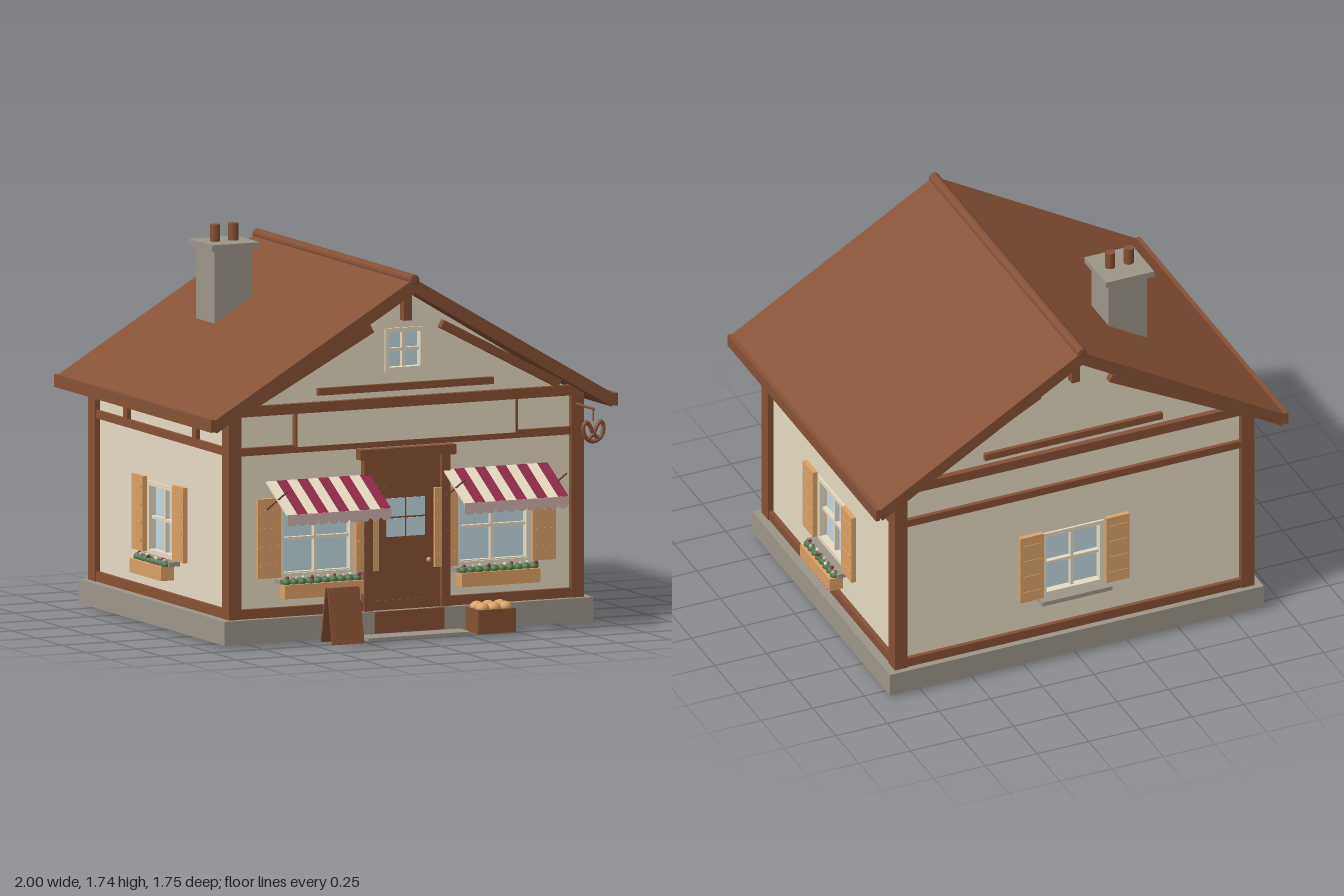
import * as THREE from 'three';

const mat = (name, color) => new THREE.MeshStandardMaterial({ name, color });

export function createModel() {
  const M = {
    timber: mat('brown timber', 0x875236),
    plaster: mat('cream plaster', 0xede2ca),
    stone: mat('grey stone', 0x9d968a),
    wood: mat('orange wood', 0xdca267),
    glass: mat('pale glass', 0xc4dae1),
    red: mat('awning red', 0x902a49),
    scallop: mat('dusty pink', 0xcdb2af),
    green: mat('leaf green', 0x507848),
  };
  const root = new THREE.Group();
  const group = (name, parent, x = 0, y = 0, z = 0, ry = 0) => {
    const g = new THREE.Group();
    g.name = name;
    g.position.set(x, y, z);
    g.rotation.y = ry;
    parent.add(g);
    return g;
  };
  const add = (parent, name, geo, m, x = 0, y = 0, z = 0) => {
    const mesh = new THREE.Mesh(geo, m);
    mesh.name = name;
    mesh.position.set(x, y, z);
    parent.add(mesh);
    return mesh;
  };
  // box given by its minimum and maximum on each axis
  const box = (parent, name, m, x0, x1, y0, y1, z0, z1) =>
    add(parent, name, new THREE.BoxGeometry(x1 - x0, y1 - y0, z1 - z0), m, (x0 + x1) / 2, (y0 + y1) / 2, (z0 + z1) / 2);
  // round bar between two points
  const bar = (parent, name, m, a, b, r) => {
    const curve = new THREE.LineCurve3(new THREE.Vector3(...a), new THREE.Vector3(...b));
    return add(parent, name, new THREE.TubeGeometry(curve, 1, r, 8), m);
  };
  const shapeOf = pts => new THREE.Shape(pts.map(p => new THREE.Vector2(...p)));
  const extrude = (shape, depth) => new THREE.ExtrudeGeometry(shape, { depth, bevelEnabled: false });

  // planter with bushes and blossoms, its back at z = 0 and its top at y = 0
  function flowerBox(parent, w) {
    box(parent, 'flowerBox', M.wood, -w / 2, w / 2, -0.062, 0, 0, 0.065);
    const n = Math.round(w / 0.04);
    for (let i = 0; i < n; i++) {
      const x = -w / 2 + (i + 0.5) * w / n;
      add(parent, 'leaves', new THREE.SphereGeometry(0.021, 8, 6), M.green, x, 0.006, 0.034);
      add(parent, 'blossom', new THREE.SphereGeometry(0.009, 6, 5), [M.red, M.scallop, M.plaster][i % 3],
        x + 0.008, 0.026, 0.03 + (i % 2) * 0.014);
    }
  }

  // window with its centre at the origin of the wall surface
  function makeWindow(parent, name, x, y, z, w, h, { shutters = false, planter = false } = {}) {
    const g = group(name, parent, x, y, z);
    const t = 0.02, a = w / 2, b = h / 2;
    box(g, 'glass', M.glass, -a, a, -b, b, -0.034, -0.026);
    for (const s of [-1, 1]) {
      add(g, 'frameSide', new THREE.BoxGeometry(t, h, 0.04), M.plaster, s * (a - t / 2), 0, -0.01);
      add(g, 'frameRail', new THREE.BoxGeometry(w, t, 0.04), M.plaster, 0, s * (b - t / 2), -0.01);
    }
    box(g, 'mullion', M.plaster, -0.007, 0.007, -b, b, -0.03, -0.005);
    box(g, 'crossbar', M.plaster, -a, a, -0.007, 0.007, -0.03, -0.005);
    if (!shutters) return g;
    box(g, 'sill', M.stone, -a - 0.02, a + 0.02, -b - 0.02, -b, -0.01, 0.055);
    for (const s of [-1, 1]) {
      const sh = group('shutter', g, s * (a + 0.058), 0.012, 0.02);
      add(sh, 'shutterPanel', new THREE.BoxGeometry(0.112, h + 0.01, 0.022), M.wood);
      for (const v of [-0.12, -0.04, 0.04, 0.12])
        add(sh, 'shutterBatten', new THREE.BoxGeometry(0.09, 0.012, 0.028), M.wood, 0, v, 0);
    }
    if (planter) flowerBox(group('planter', g, 0, -b - 0.02, 0.025), w + 0.02);
    return g;
  }

  const house = group('house', root, 0, 0, -0.07);
  const HX = 0.845, HZ = 0.695;

  // foundation and floor
  box(house, 'foundation', M.stone, -0.905, 0.905, 0.015, 0.122, -0.745, 0.745);
  box(house, 'floorBorder', M.plaster, -0.835, 0.835, 0.008, 0.016, -0.685, 0.685);
  box(house, 'floor', M.timber, -0.795, 0.795, 0, 0.014, -0.645, 0.645);

  // one wall with window openings, facing +z before turning
  function makeWall(name, ry, dist, half, gable, holes) {
    const g = group(name, house, 0, 0, 0, ry);
    const pts = [[-half, 0.12], [half, 0.12], [half, 1.03]];
    if (gable) pts.push([0, 1.54]);
    pts.push([-half, 1.03]);
    const s = shapeOf(pts);
    for (const [x, y, w, h] of holes)
      s.holes.push(new THREE.Path([[-1, -1], [-1, 1], [1, 1], [1, -1]].map(
        ([i, j]) => new THREE.Vector2(x + i * w / 2, y + j * h / 2))));
    add(g, 'plaster', extrude(s, 0.04), M.plaster, 0, 0, dist - 0.04);
    const e = half - 0.03, z0 = dist - 0.01, z1 = dist + 0.02;
    box(g, 'sillBeam', M.timber, -e, e, 0.122, 0.165, z0, z1);
    box(g, 'middleBeam', M.timber, -e, e, 0.85, 0.885, z0, z1);
    if (gable) {
      box(g, 'topPlate', M.timber, -0.85, 0.85, 1.025, 1.07, z0, z1 + 0.008);
      box(g, 'gableBeam', M.timber, -0.43, 0.43, 1.098, 1.13, z0, z1);
      box(g, 'kingPost', M.timber, -0.02, 0.02, 1.41, 1.55, z0, z1 + 0.02);
      for (const d of [-1, 1]) {
        const brace = add(g, 'brace', new THREE.BoxGeometry(0.65, 0.038, 0.045), M.timber, d * 0.46, 1.232, dist + 0.012);
        brace.rotation.z = -d * 0.484;
      }
    } else {
      box(g, 'topPlate', M.timber, -e, e, 0.98, 1.03, z0, z1);
      for (const x of [-0.352, 0.352]) box(g, 'shortPost', M.timber, x - 0.02, x + 0.02, 0.885, 0.98, z0, z1);
    }
    return g;
  }

  const sideWin = [0, 0.477, 0.3, 0.32], frontWin = [0.433, 0.477, 0.365, 0.32];
  const front = makeWall('frontWall', 0, HZ, HX, true,
    [frontWin, [-0.433, 0.477, 0.365, 0.32], [0, 1.278, 0.19, 0.19]]);
  for (const s of [-1, 1])
    makeWindow(front, 'frontWindow', s * 0.433, 0.465, HZ, 0.365, 0.345, { shutters: true, planter: true });
  makeWindow(front, 'gableWindow', 0, 1.278, HZ, 0.19, 0.195);
  const back = makeWall('backWall', Math.PI, HZ, HX, true, [sideWin]);
  makeWindow(back, 'backWindow', 0, 0.475, HZ, 0.3, 0.325, { shutters: true });
  for (const s of [-1, 1]) {
    const side = makeWall('sideWall', s * Math.PI / 2, HX, HZ, false, [sideWin]);
    makeWindow(side, 'sideWindow', 0, 0.475, HX, 0.3, 0.325, { shutters: true, planter: true });
  }

  // corner posts
  for (const x of [-1, 1]) for (const z of [-1, 1])
    add(house, 'cornerPost', new THREE.BoxGeometry(0.062, 0.91, 0.07), M.timber, x * 0.839, 0.575, z * 0.685);

  // roof, eave boards and ridge roll
  add(house, 'roof', extrude(shapeOf([[0, 1.605], [-0.997, 1.02], [-0.967, 0.975], [0, 1.54], [0.967, 0.975], [0.997, 1.02]]), 1.605),
    M.timber, 0, 0, -0.8025);
  for (const s of [-1, 1])
    add(house, 'eaveBoard', new THREE.BoxGeometry(0.02, 0.056, 1.605), M.timber, s * 0.988, 1.007, 0);
  bar(house, 'ridge', M.timber, [0, 1.6, -0.803], [0, 1.6, 0.803], 0.025);
  for (const z of [-0.803, 0.803])
    add(house, 'ridgeEnd', new THREE.SphereGeometry(0.024, 10, 6).scale(1, 1, 0.1), M.timber, 0, 1.6, z);

  // chimney
  const chimney = group('chimney', root, -0.412, 0, -0.353);
  box(chimney, 'stack', M.stone, -0.093, 0.093, 1.2, 1.64, -0.093, 0.093);
  box(chimney, 'cap', M.stone, -0.117, 0.117, 1.635, 1.662, -0.117, 0.117);
  for (const x of [-0.045, 0.045])
    add(chimney, 'chimneyPot', new THREE.CylinderGeometry(0.023, 0.023, 0.078, 12), M.timber, x, 1.699, 0);

  // door with frame, step and slab
  const door = group('door', root);
  box(door, 'doorPanel', M.timber, -0.17, 0.17, 0.12, 0.8, 0.6, 0.64);
  for (const s of [-1, 1]) {
    box(door, 'doorPost', M.timber, s * 0.19 - 0.02, s * 0.19 + 0.02, 0.12, 0.81, 0.6, 0.66);
    for (const t of [-1, 1])
      add(door, 'doorPane', new THREE.BoxGeometry(0.088, 0.082, 0.006), M.glass, s * 0.049, 0.532 + t * 0.045, 0.641);
  }
  box(door, 'lintel', M.timber, -0.235, 0.235, 0.8, 0.845, 0.6, 0.67);
  add(door, 'doorKnob', new THREE.SphereGeometry(0.011, 10, 8), M.wood, 0.11, 0.335, 0.647);
  box(door, 'step', M.timber, -0.17, 0.17, 0.025, 0.122, 0.6, 0.685);
  box(door, 'slab', M.stone, -0.25, 0.25, 0.008, 0.022, 0.6, 0.785);

  // shop sign board
  box(root, 'signBoard', M.plaster, -0.54, 0.54, 0.872, 1.025, 0.61, 0.648);
  for (const x of [-0.54, 0.54]) box(root, 'signEdge', M.timber, x - 0.006, x + 0.006, 0.872, 1.025, 0.61, 0.652);
  box(root, 'signRail', M.timber, -0.54, 0.54, 0.866, 0.876, 0.61, 0.652);

  // striped awnings with scalloped valance and crossing arms
  for (const c of [-0.435, 0.435]) {
    const a = group('awning', root, c, 0, 0);
    const n = 10, w = 0.051, left = -n * w / 2;
    const valance = new THREE.Shape();
    valance.moveTo(left, 0.61);
    valance.lineTo(left, 0.583);
    for (let i = 0; i < n; i++) {
      const x = left + (i + 0.5) * w;
      const stripe = add(a, 'stripe', new THREE.BoxGeometry(w, 0.008, 0.253), i % 2 ? M.red : M.plaster, x, 0.667, 0.76);
      stripe.rotation.x = 0.517;
      valance.absarc(x, 0.583, w / 2, Math.PI, Math.PI * 2, false);
    }
    valance.lineTo(-left, 0.61);
    add(a, 'valance', extrude(valance, 0.007), M.scallop, 0, 0, 0.865);
    for (const s of [-1, 1])
      bar(a, 'awningArm', M.timber, [s * 0.25, 0.6, 0.64], [s * 0.25, 0.715, 0.866], 0.004);
  }

  // hanging pretzel on a bracket
  const hang = group('hangingSign', root, 0.833, 0, 0);
  bar(hang, 'bracket', M.timber, [0, 0.985, 0.63], [0, 0.985, 0.85], 0.006);
  bar(hang, 'hanger', M.timber, [0, 0.93, 0.822], [0, 0.985, 0.822], 0.004);
  const knot = [[-0.028, -0.038], [0, -0.01], [0.018, 0.025], [0.035, 0.042], [0.05, 0.018], [0.036, -0.028], [0, -0.046],
    [-0.036, -0.028], [-0.05, 0.018], [-0.035, 0.042], [-0.018, 0.025], [0, -0.01], [0.028, -0.038]];
  const knotCurve = new THREE.CatmullRomCurve3(knot.map(([x, y]) => new THREE.Vector3(x, y, 0)));
  add(hang, 'pretzel', new THREE.TubeGeometry(knotCurve, 60, 0.01, 8), M.timber, 0, 0.886, 0.822);

  // folding pavement board
  const board = group('pavementBoard', root, -0.39, 0, 0);
  for (const [z, tilt] of [[0.842, -0.2], [0.774, 0.2]]) {
    const leaf = add(board, 'boardLeaf', new THREE.BoxGeometry(0.155, 0.25, 0.01), M.timber, 0, 0.138, z);
    leaf.rotation.x = tilt;
  }

  // crate of loaves
  const crate = group('breadCrate', root, 0.357, 0, 0.768);
  box(crate, 'crateBase', M.timber, -0.092, 0.092, 0.015, 0.1, -0.065, 0.065);
  for (const s of [-1, 1]) {
    add(crate, 'crateSide', new THREE.BoxGeometry(0.184, 0.106, 0.012), M.timber, 0, 0.068, s * 0.06);
    add(crate, 'crateEnd', new THREE.BoxGeometry(0.012, 0.106, 0.13), M.timber, s * 0.086, 0.068, 0);
  }
  for (const x of [-0.056, 0, 0.056]) for (const z of [-0.028, 0.028])
    add(crate, 'loaf', new THREE.SphereGeometry(0.032, 12, 8).scale(1, 0.85, 0.95), M.wood, x, 0.124, z);

  return root;
}
